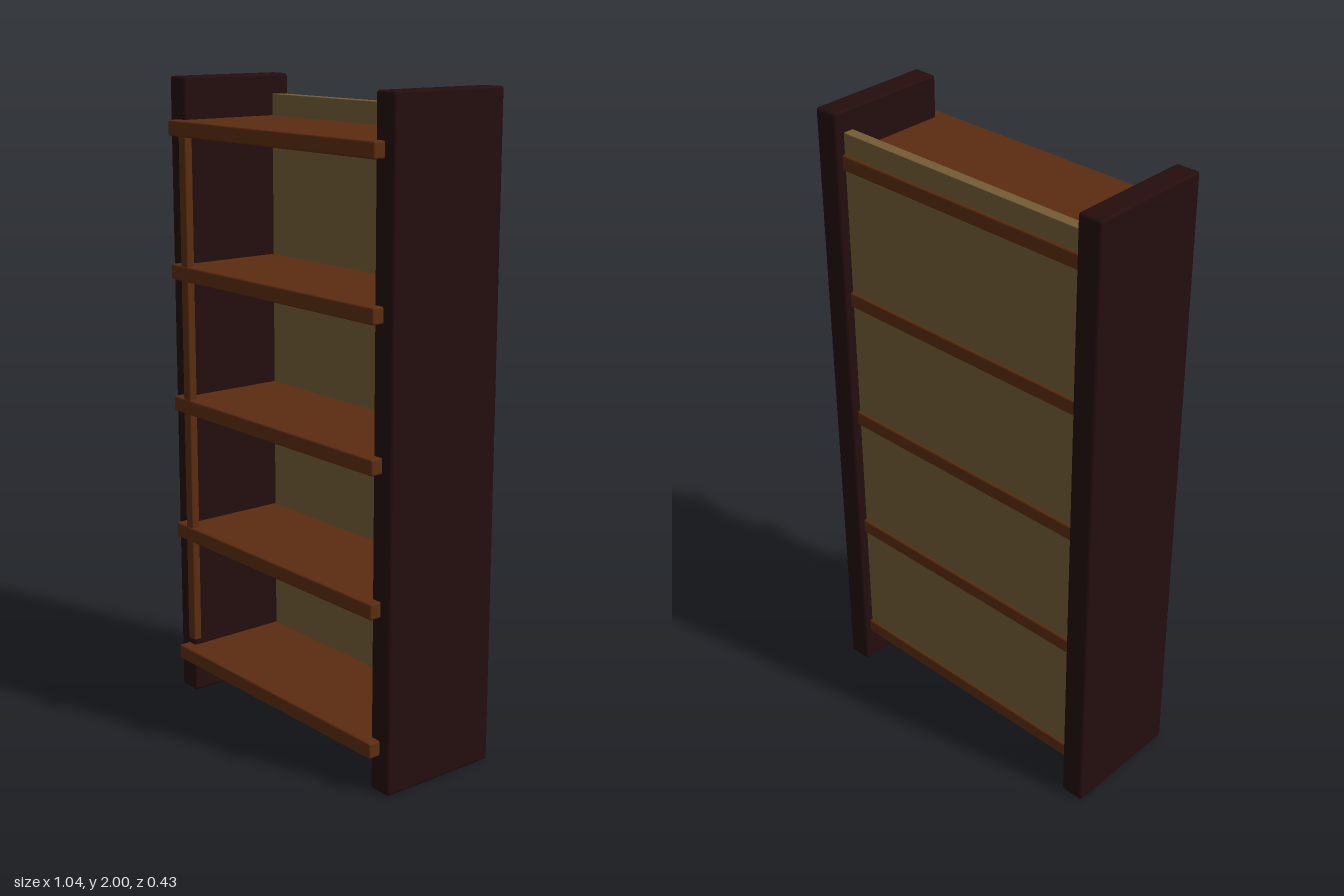
import * as THREE from 'three';
import { RoundedBoxGeometry } from 'three/addons/geometries/RoundedBoxGeometry.js';

const paint = (name, color) => {
  const m = new THREE.MeshStandardMaterial({ color });
  m.name = name;
  return m;
};

// Softly bevelled board given by its min and max corners
function board(name, material, [x0, y0, z0], [x1, y1, z1], bevel = 0.006) {
  const geometry = new RoundedBoxGeometry(x1 - x0, y1 - y0, z1 - z0, 2, bevel);
  const mesh = new THREE.Mesh(geometry, material);
  mesh.position.set((x0 + x1) / 2, (y0 + y1) / 2, (z0 + z1) / 2);
  mesh.name = name;
  return mesh;
}

export function createModel() {
  const darkWood = paint('darkWood', 0x240d0d);
  const shelfWood = paint('shelfWood', 0x5b2c10);
  const backWood = paint('backWood', 0x735c35);

  const group = new THREE.Group();
  group.name = 'bookcase';

  // Tall side panels
  group.add(
    board('leftSide', darkWood, [0.445, 0, -0.217], [0.522, 2, 0.18], 0.008),
    board('rightSide', darkWood, [-0.522, 0, -0.217], [-0.445, 2, 0.18], 0.008),
  );

  // Back panel, with the shelves showing through behind it
  group.add(board('backPanel', backWood, [-0.443, 0.11, -0.188], [0.443, 1.938, -0.153], 0.002));

  // Shelves, notched past the front of the sides
  [0.138, 0.562, 0.983, 1.405, 1.847].forEach((y, i) => {
    group.add(board(`shelf${i + 1}`, shelfWood, [-0.483, y - 0.024, -0.195], [0.483, y + 0.024, 0.217]));
  });

  // Slim upright post at the front right
  group.add(board('frontPost', shelfWood, [-0.431, 0.202, 0.188], [-0.396, 1.84, 0.215], 0.004));

  return group;
}
